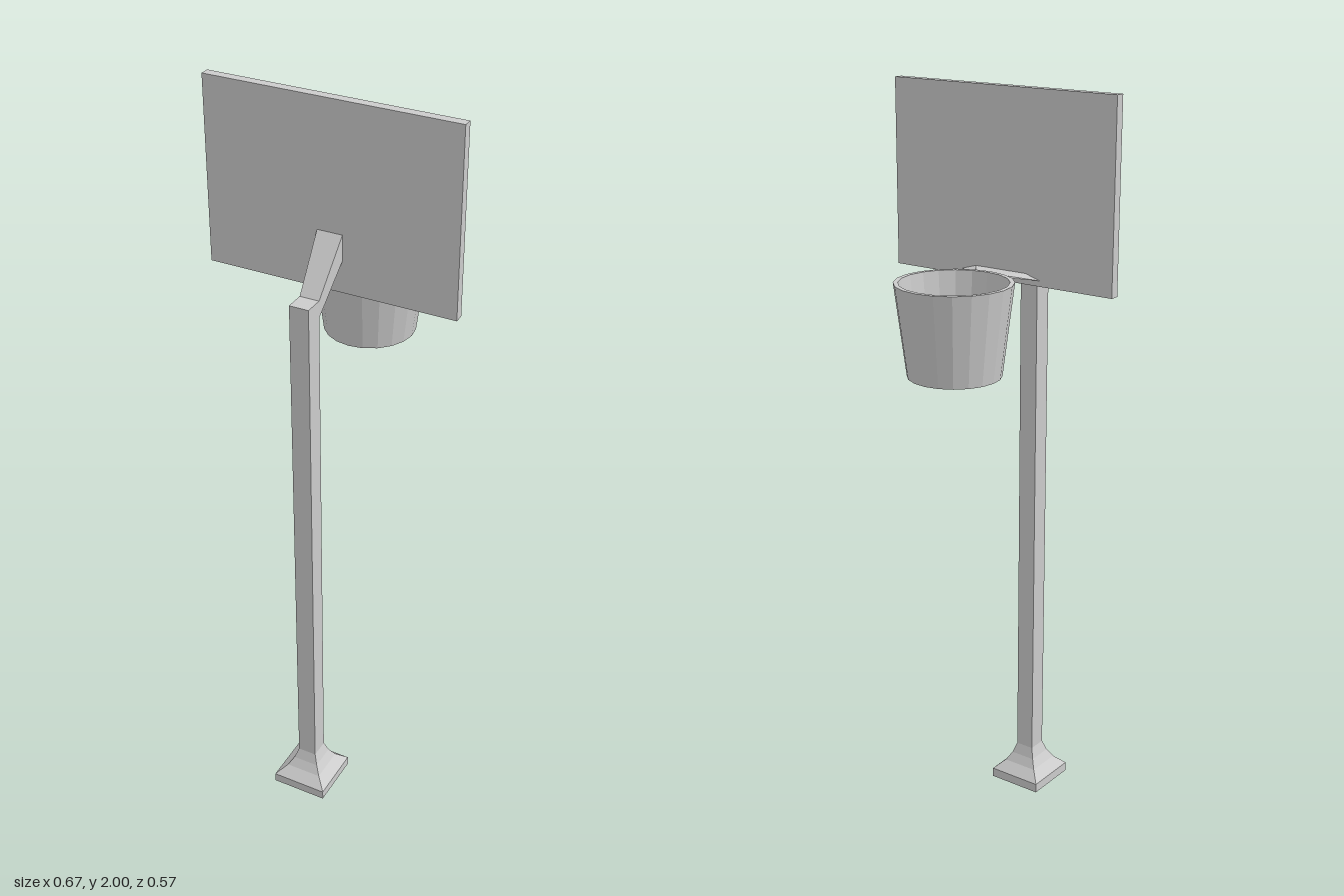
import * as THREE from 'three';

const material = new THREE.MeshStandardMaterial({ color: 0xcccccc, flatShading: true });

// Closed solid through a row of four-cornered sections (corners run counter-clockwise seen from the last one)
function loft(sections) {
  const positions = sections.flat(2);
  const index = [];
  for (let i = 0; i < sections.length - 1; i++) {
    for (let j = 0; j < 4; j++) {
      const a = i * 4 + j, b = i * 4 + (j + 1) % 4;
      index.push(a, b, b + 4, a, b + 4, a + 4);
    }
  }
  const e = (sections.length - 1) * 4;
  index.push(0, 2, 1, 0, 3, 2, e, e + 1, e + 2, e, e + 2, e + 3);
  const geometry = new THREE.BufferGeometry();
  geometry.setAttribute('position', new THREE.Float32BufferAttribute(positions, 3));
  geometry.setIndex(index);
  const flat = geometry.toNonIndexed();
  flat.computeVertexNormals();
  return flat;
}

// Horizontal square section
const square = (h, y) => [[h, y, h], [h, y, -h], [-h, y, -h], [-h, y, h]];

// Upright trapezoid section at depth z
const upright = (z, bottomHalf, bottom, topHalf, top) => [
  [bottomHalf, bottom, z], [-bottomHalf, bottom, z], [-topHalf, top, z], [topHalf, top, z],
];

export function createModel() {
  const model = new THREE.Group();
  const add = (name, geometry, x = 0, y = 0, z = 0) => {
    const mesh = new THREE.Mesh(geometry, material);
    mesh.name = name;
    mesh.position.set(x, y, z);
    model.add(mesh);
  };

  // Square foot flaring up into the pole
  const poleZ = 0.209;
  const profile = [[0.077, 0], [0.077, 0.026], [0.05, 0.052], [0.036, 0.076], [0.026, 0.105], [0.026, 1.54]];
  add('poleAndFoot', loft(profile.map(([h, y]) => square(h, y))), 0, 0, poleZ);

  // Slanted arm widening towards the board
  add('supportArm', loft([
    upright(0.183, 0.026, 1.495, 0.026, 1.54),
    upright(0.08, 0.034, 1.6, 0.034, 1.668),
  ]));

  // Backboard
  add('backboard', new THREE.BoxGeometry(0.67, 0.485, 0.025), 0, 1.7575, 0.0675);

  // Tapered bracket between board and basket
  add('rimBracket', loft([
    upright(0.055, 0.122, 1.53, 0.078, 1.543),
    upright(0.005, 0.045, 1.537, 0.04, 1.543),
  ]));

  // Open tapered basket with a wall thickness
  const wall = [[0.111, 1.308], [0.12, 1.308], [0.15, 1.546], [0.138, 1.546], [0.111, 1.308]];
  add('basket', new THREE.LatheGeometry(wall.map(([r, y]) => new THREE.Vector2(r, y)), 20), 0, 0, -0.138);

  return model;
}
